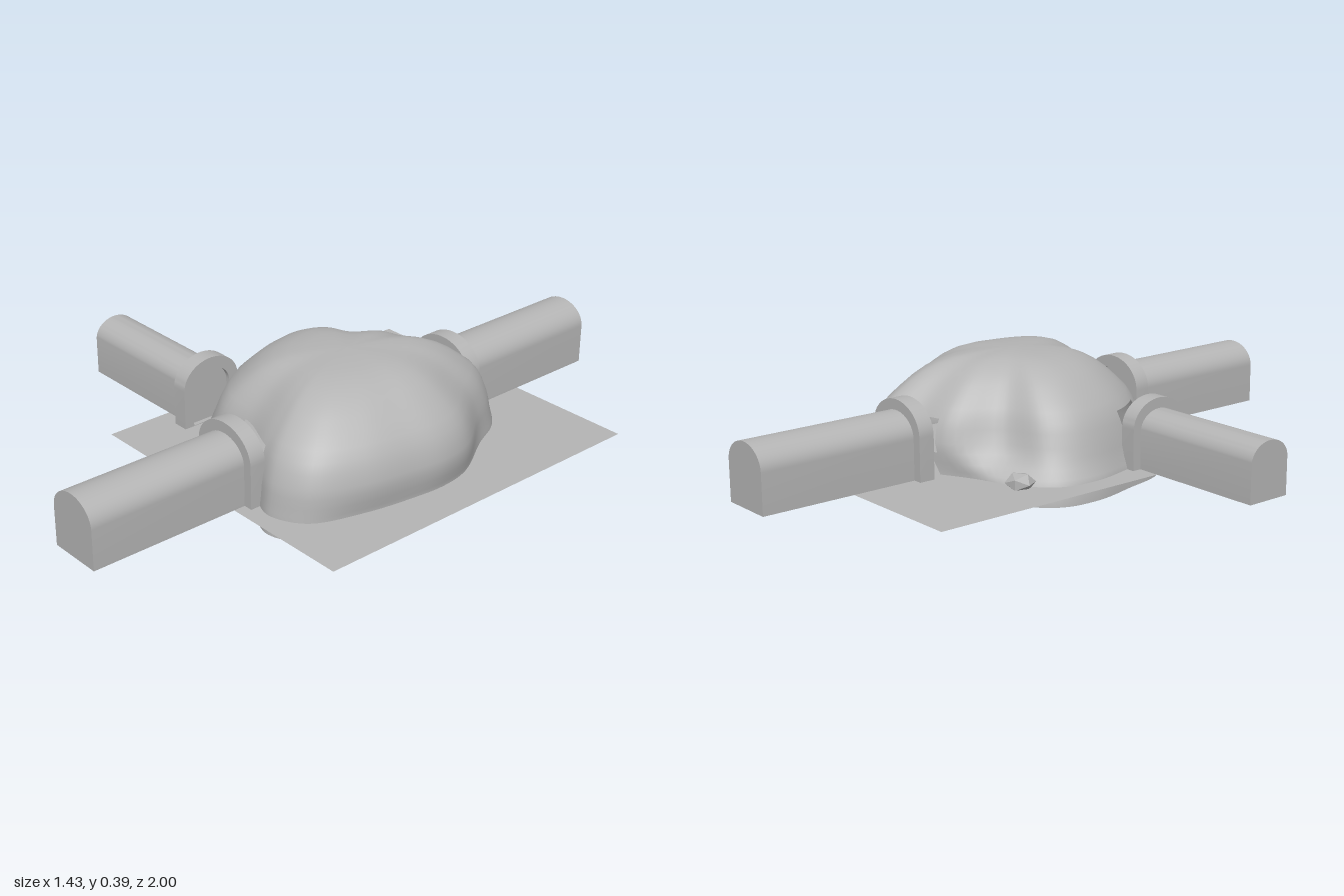
import * as THREE from 'three';
import { toCreasedNormals } from 'three/addons/utils/BufferGeometryUtils.js';

const stone = new THREE.MeshStandardMaterial({ color: 0xb4b4b4, side: THREE.DoubleSide });
stone.name = 'grey stone';

function part(name, geometry, parent) {
  const mesh = new THREE.Mesh(geometry, stone);
  mesh.name = name;
  parent.add(mesh);
  return mesh;
}

// Outlines of the cave seen from above, as x, z pairs running back, left, front, right.
const WALL = [[0.32, -0.48], [0.4, -0.42], [0.465, -0.31], [0.575, -0.16], [0.6, -0.05], [0.585, 0.08],
  [0.555, 0.24], [0.48, 0.39], [0.375, 0.44], [0.29, 0.42], [0.14, 0.36], [-0.02, 0.34],
  [-0.14, 0.22], [-0.2, 0.08], [-0.21, -0.07], [-0.15, -0.17], [-0.02, -0.23], [0.085, -0.37], [0.2, -0.41]];
const FOOT = [[0.33, -0.5], [0.41, -0.44], [0.47, -0.32], [0.56, -0.16], [0.58, -0.05], [0.57, 0.08],
  [0.54, 0.24], [0.48, 0.4], [0.375, 0.455], [0.29, 0.43], [0.14, 0.375], [-0.05, 0.355],
  [-0.18, 0.27], [-0.23, 0.1], [-0.26, -0.05], [-0.24, -0.18], [-0.13, -0.28], [0, -0.32], [0.2, -0.43]];
// Height, scale towards the middle, and share of the foot outline.
const LEVELS = [[0, 1.01, 1], [0.05, 1, 1], [0.075, 1, 0.75], [0.1, 1, 0.45], [0.13, 1, 0.2], [0.16, 0.99, 0.06],
  [0.2, 0.96, 0], [0.23, 0.925, 0], [0.26, 0.875, 0], [0.29, 0.8, 0], [0.32, 0.72, 0], [0.345, 0.635, 0],
  [0.365, 0.54, 0], [0.38, 0.43, 0], [0.388, 0.3, 0], [0.392, 0.15, 0], [0.393, 0, 0]];

// Wall openings where the tunnels enter.
function isOpening(x, y, z) {
  if (y < 0.06 || y > 0.235) return false;
  return (Math.abs(x - 0.2) < 0.08 && Math.abs(z) > 0.3) || (x < -0.08 && z > 0.13 && z < 0.28);
}

function caveGeometry() {
  const n = 114;
  const curve = (pts) => new THREE.CatmullRomCurve3(pts.map(([x, z]) => new THREE.Vector3(x, 0, z)), true);
  const wall = curve(WALL), foot = curve(FOOT);
  const centre = new THREE.Vector3(0.2, 0, 0);
  const pos = [], index = [];
  for (const [y, scale, share] of LEVELS) {
    for (let i = 0; i < n; i++) {
      const p = wall.getPoint(i / n).lerp(foot.getPoint(i / n), share);
      p.sub(centre).multiplyScalar(scale).add(centre);
      pos.push(p.x, y, p.z);
    }
  }
  for (let j = 0; j < LEVELS.length - 1; j++) {
    for (let i = 0; i < n; i++) {
      const a = j * n + i, b = j * n + (i + 1) % n, c = a + n, d = b + n;
      const mid = (k) => (pos[a * 3 + k] + pos[d * 3 + k]) / 2;
      if (isOpening(mid(0), mid(1), mid(2))) continue;
      index.push(a, c, b);
      if (j < LEVELS.length - 2) index.push(b, c, d);
    }
  }
  const g = new THREE.BufferGeometry();
  g.setAttribute('position', new THREE.Float32BufferAttribute(pos, 3));
  g.setIndex(index);
  g.computeVertexNormals();
  return g;
}

// Arch outline: straight sides under a half ellipse.
function trace(path, halfWidth, bottom, top, rise) {
  path.moveTo(-halfWidth, bottom);
  path.lineTo(halfWidth, bottom);
  path.lineTo(halfWidth, top - rise);
  path.absellipse(0, top - rise, halfWidth, rise, 0, Math.PI, false);
  path.lineTo(-halfWidth, bottom);
  return path;
}

function extrude(shape, from, to) {
  const g = new THREE.ExtrudeGeometry(shape, { depth: to - from, bevelEnabled: false, curveSegments: 14 });
  return toCreasedNormals(g.translate(0, 0, from), 0.6);
}

// A closed tunnel with an arched collar at its inner end, running along +z.
function tunnel(name, { halfWidth, top, collar, end }) {
  const group = new THREE.Group();
  group.name = name;
  const rise = halfWidth * 0.82;
  part('tunnelPassage', extrude(trace(new THREE.Shape(), halfWidth, 0.06, top, rise), collar + 0.015, end), group);
  const ring = trace(new THREE.Shape(), halfWidth + 0.03, 0.055, top + 0.034, rise + 0.025);
  ring.holes.push(trace(new THREE.Path(), halfWidth - 0.004, 0.062, top - 0.004, rise));
  part('tunnelCollar', extrude(ring, collar, collar + 0.053), group);
  return group;
}

export function createModel() {
  const model = new THREE.Group();
  model.name = 'caveWithTunnels';

  part('caveDome', caveGeometry(), model);

  // Ground sheet
  const ground = part('groundSheet', new THREE.PlaneGeometry(1.04, 1.2).rotateX(-Math.PI / 2), model);
  ground.position.set(0.193, 0.06, -0.09);

  // Tunnels to the front, the back and the right
  const long = { halfWidth: 0.09, top: 0.264, collar: 0.418, end: 1 };
  const front = tunnel('frontTunnel', long);
  front.position.x = 0.195;
  const back = tunnel('backTunnel', long);
  back.position.x = 0.195;
  back.rotation.y = Math.PI;
  const side = tunnel('rightTunnel', { halfWidth: 0.076, top: 0.244, collar: 0.2, end: 0.72 });
  side.position.z = 0.208;
  side.rotation.y = -Math.PI / 2;
  model.add(front, back, side);

  // Loose rocks at the foot of the wall
  for (const [x, y, z, r, turn] of [[-0.15, 0.075, -0.265, 0.048, 0.5], [-0.06, 0.07, 0.353, 0.03, 1.2]]) {
    const rock = part('rock', new THREE.IcosahedronGeometry(r, 0), model);
    rock.position.set(x, y, z);
    rock.scale.y = 0.65;
    rock.rotation.y = turn;
  }
  return model;
}
